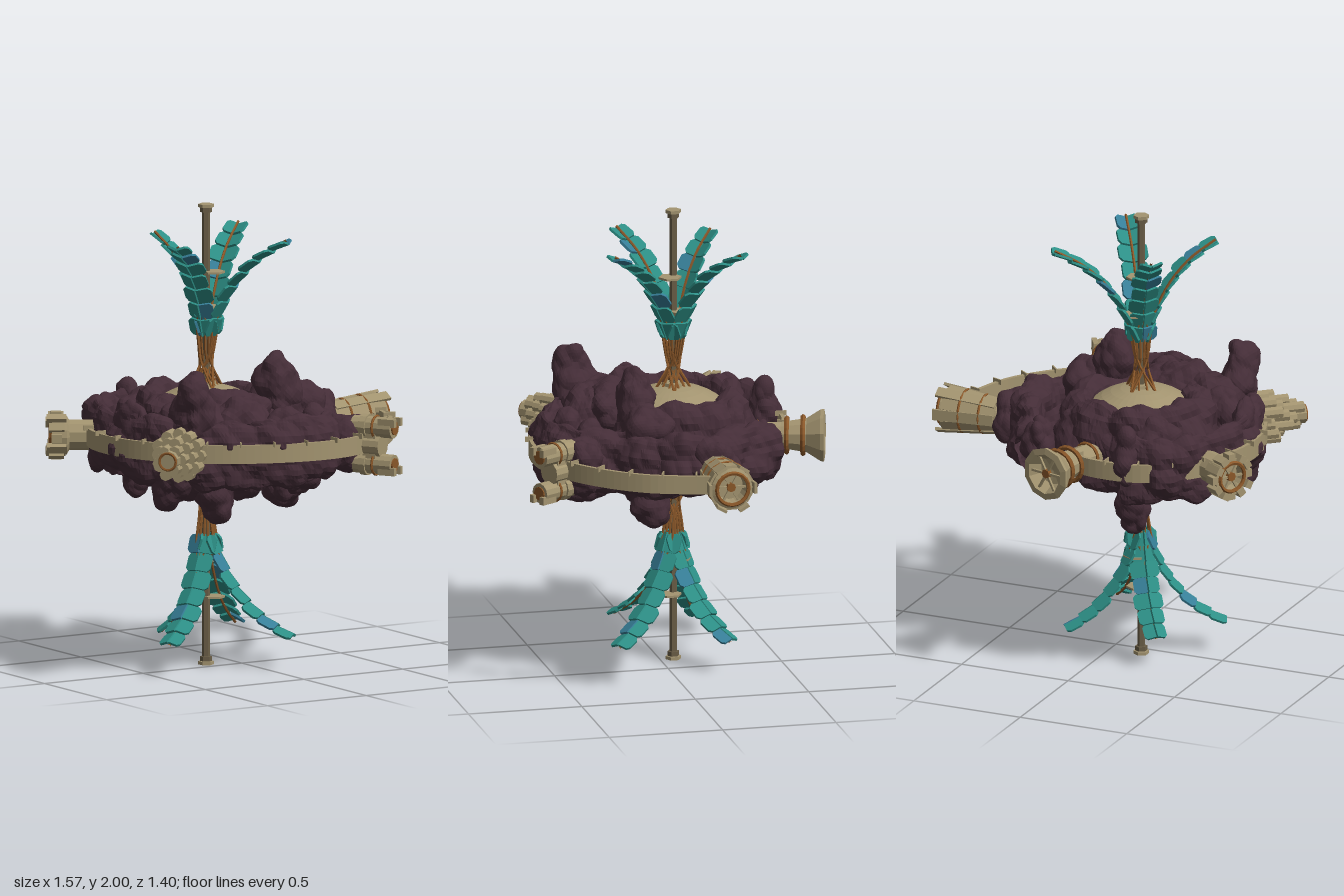
import * as THREE from 'three';

const mat = (name, color, side = THREE.FrontSide) => {
  const m = new THREE.MeshStandardMaterial({ color, flatShading: true, side });
  m.name = name;
  return m;
};
const HX = -0.145, HZ = -0.058; // hub axis

export function createModel() {
  const model = new THREE.Group();
  model.name = 'station';
  const tan = mat('tan metal', 0xa39470, THREE.DoubleSide);
  const dark = mat('mast metal', 0x6a5e47);
  const rockMat = mat('purple rock', 0x442d37, THREE.DoubleSide);
  const brown = mat('brown metal', 0x8a5729);
  const teal = mat('teal panel', 0x2d8f86);
  const blue = mat('blue panel', 0x377f98);

  const add = (parent, name, geo, material, x = 0, y = 0, z = 0) => {
    const m = new THREE.Mesh(geo, material);
    m.name = name;
    m.position.set(x, y, z);
    parent.add(m);
    return m;
  };
  const v = (x, y, z) => new THREE.Vector3(x, y, z);

  // Boulder noise: distance to the nearest of scattered seeds
  const hash = (x, y, z) => {
    const s = Math.sin(x * 127.1 + y * 311.7 + z * 74.7) * 43758.5453;
    return s - Math.floor(s);
  };
  const cell = (x, y, z) => {
    const X = Math.floor(x), Y = Math.floor(y), Z = Math.floor(z);
    let best = 9;
    for (let i = -1; i < 2; i++) for (let j = -1; j < 2; j++) for (let k = -1; k < 2; k++) {
      const a = X + i, b = Y + j, c = Z + k;
      best = Math.min(best, Math.hypot(a + hash(a, b, c) - x, b + hash(b, c, a + 5) - y, c + hash(c, a + 9, b) - z));
    }
    return 0.5 - best;
  };
  const roughen = (geo, amount) => {
    const p = geo.attributes.position, n = geo.attributes.normal;
    for (let i = 0; i < p.count; i++) {
      const x = p.getX(i), y = p.getY(i), z = p.getZ(i);
      const d = amount * (cell(x * 7, y * 7, z * 7) + 0.4 * cell(x * 16, y * 16, z * 16));
      p.setXYZ(i, x + n.getX(i) * d, y + n.getY(i) * d, z + n.getZ(i) * d);
    }
    geo.computeVertexNormals();
    return geo;
  };

  // Rock: ring round the core, outer arcs, and boulders
  const rock = new THREE.Group();
  rock.name = 'rock';
  model.add(rock);
  const rockTube = (name, pts, w, h, closed) => {
    const curve = new THREE.CatmullRomCurve3(pts.map(([x, z]) => v(x, 0, z)), closed);
    const geo = new THREE.TubeGeometry(curve, 130, w, 36, closed).scale(1, h / w, 1);
    add(rock, name, roughen(geo, 0.065), rockMat, 0, 1, 0);
  };
  const circle = [];
  for (let i = 0; i < 12; i++) {
    const a = i * Math.PI / 6;
    circle.push([HX + 0.245 * Math.cos(a), HZ + 0.25 * Math.sin(a)]);
  }
  rockTube('innerRock', circle, 0.09, 0.2, true);
  rockTube('outerRock', [[-0.25, -0.49], [-0.42, -0.45], [-0.54, -0.29], [-0.605, -0.05], [-0.565, 0.15],
    [-0.44, 0.33], [-0.2, 0.48], [0.02, 0.54], [0.2, 0.43]], 0.052, 0.15, false);
  rockTube('sideRock', [[0.18, 0.43], [0.21, 0.27], [0.33, 0.14], [0.385, -0.02], [0.35, -0.18], [0.28, -0.28], [0.2, -0.39]], 0.075, 0.14, false);
  [ // x, y, z, half sizes
    [-0.27, 1.03, -0.48, 0.06, 0.15, 0.065], [0.2, 1.02, -0.38, 0.07, 0.12, 0.065],
    [0.43, 1, -0.1, 0.08, 0.12, 0.115], [0.25, 1, 0.44, 0.11, 0.13, 0.1],
    [-0.36, 1, 0.22, 0.17, 0.22, 0.17], [-0.2, 1, 0.31, 0.16, 0.23, 0.12],
    [0.11, 1, 0.15, 0.12, 0.22, 0.12], [0.12, 0.99, 0.36, 0.08, 0.17, 0.1],
    [-0.33, 1, -0.31, 0.12, 0.17, 0.09], [0.03, 1, -0.26, 0.13, 0.18, 0.11],
    [-0.44, 1, 0.13, 0.1, 0.2, 0.08], [-0.52, 1.0, -0.16, 0.09, 0.06, 0.03],
    [-0.12, 1, -0.31, 0.14, 0.17, 0.08], [-0.05, 0.98, 0.42, 0.1, 0.2, 0.07],
    [0.09, 1.21, 0.16, 0.1, 0.17, 0.09], [-0.44, 1.18, 0.31, 0.08, 0.17, 0.1],
    [0.2, 1.13, 0.14, 0.1, 0.12, 0.1], [-0.58, 1.08, 0.05, 0.05, 0.13, 0.1],
    [-0.32, 0.83, 0.3, 0.09, 0.15, 0.09], [0.13, 0.83, 0.1, 0.09, 0.15, 0.09],
    [-0.28, 0.81, -0.43, 0.07, 0.13, 0.06], [-0.17, 1.13, 0.22, 0.16, 0.11, 0.12],
    [0.0, 0.9, 0.46, 0.09, 0.11, 0.07], [-0.5, 0.9, 0.2, 0.1, 0.15, 0.13],
  ].forEach(([x, y, z, a, b, c]) => {
    const geo = new THREE.IcosahedronGeometry(1, 9).scale(a, b, c).translate(x, y, z);
    add(rock, 'boulder', roughen(geo, 0.06), rockMat);
  });

  // Core, polar caps and mast
  add(model, 'core', new THREE.SphereGeometry(0.29, 32, 20).scale(1, 0.76, 1), tan, HX, 1, HZ);
  add(model, 'mast', new THREE.CylinderGeometry(0.017, 0.017, 1.98, 6), dark, HX, 1, HZ);
  for (const s of [-1, 1]) {
    add(model, 'polarCap', new THREE.CylinderGeometry(0.045, 0.05, 0.02, 6), tan, HX, 1 + s * 0.222, HZ);
    add(model, 'mastEnd', new THREE.CylinderGeometry(0.034, 0.034, 0.014, 6), tan, HX, 1 + s * 0.993, HZ);
    add(model, 'mastCollar', new THREE.CylinderGeometry(0.026, 0.026, 0.02, 6), dark, HX, 1 + s * 0.975, HZ);
    add(model, 'mastPlate', new THREE.CylinderGeometry(0.05, 0.05, 0.009, 6), tan, HX + 0.025, 1 + s * 0.705, HZ + 0.02);
    add(model, 'mastPlate', new THREE.CylinderGeometry(0.05, 0.05, 0.009, 6), tan, HX + 0.02, 1 + s * 0.55, HZ - 0.025);
  }

  // Half of a panel segment, with clipped outer corners, hinged on x = 0
  const halfPanel = (w, l) => {
    const s = new THREE.Shape();
    s.moveTo(0, -l / 2);
    s.lineTo(w * 0.78, -l / 2);
    s.lineTo(w, -l * 0.32);
    s.lineTo(w, l * 0.32);
    s.lineTo(w * 0.78, l / 2);
    s.lineTo(0, l / 2);
    return new THREE.ExtrudeGeometry(s, { depth: 0.01, bevelEnabled: false }).rotateX(Math.PI / 2);
  };

  // Panel fans at both ends: four curved leaves on crossed struts
  const leafTips = {
    1: [[0.31, -0.23], [0.215, 0.315], [-0.27, 0.19], [-0.14, -0.2]],
    [-1]: [[0.27, -0.19], [0.25, 0.3], [-0.31, 0.19], [-0.14, -0.15]],
  };
  for (const s of [1, -1]) {
    const fan = new THREE.Group();
    fan.name = s > 0 ? 'upperPanels' : 'lowerPanels';
    fan.position.set(HX, 1, HZ);
    if (s < 0) fan.rotation.x = Math.PI;
    model.add(fan);
    leafTips[s].forEach(([dx, dz], n) => {
      const leaf = new THREE.Group();
      leaf.name = 'panelLeaf';
      leaf.rotation.y = Math.atan2(dx, dz * s);
      fan.add(leaf);
      const k = Math.hypot(dx, dz);
      const path = new THREE.CatmullRomCurve3([[0.1, 0.43], [0.2, 0.55], [0.4, 0.68], [0.66, 0.78], [1, 0.86]]
        .map(([r, y]) => v(0, y, r * k)));
      const N = 7;
      for (let i = 0; i < N; i++) {
        const a = path.getPointAt(i / N), b = path.getPointAt((i + 1) / N);
        const seg = new THREE.Group();
        seg.name = 'panelSegment';
        seg.position.copy(a).lerp(b, 0.5);
        seg.rotation.x = -Math.atan2(b.y - a.y, b.z - a.z) + 0.14;
        leaf.add(seg);
        const w = i === N - 1 ? 0.05 : i % 2 ? 0.058 : 0.066;
        for (const e of [-1, 1]) {
          const isBlue = (i + n) % 4 === (s > 0 ? 3 : 2) && e > 0;
          add(seg, 'panel', halfPanel(w, a.distanceTo(b) * 1.03), isBlue ? blue : teal)
            .rotation.set(0, e < 0 ? Math.PI : 0, 0.35);
        }
      }
      add(leaf, 'panelRib', new THREE.TubeGeometry(path, 14, 0.006, 5).translate(0, 0.006, -0.005), brown);
      // Struts cross the axis and meet the leaf foot
      for (const e of [-1, -0.35, 0.35, 1]) {
        const strut = new THREE.CatmullRomCurve3([v(e * 0.055, 0.2, -0.055), v(e * 0.022, 0.34, 0.02),
          v(e * 0.026, 0.46, 0.11 * k), v(e * 0.012, 0.53, 0.17 * k)]);
        add(leaf, 'strut', new THREE.TubeGeometry(strut, 8, 0.0055, 5), brown);
      }
    });
  }

  // Open outer band with studs
  const band = new THREE.CatmullRomCurve3([[0.7, -0.03], [0.6, 0.25], [0.4, 0.47], [0.2, 0.575], [0.05, 0.6],
    [-0.15, 0.57], [-0.37, 0.47], [-0.53, 0.33], [-0.63, 0.16], [-0.665, 0], [-0.64, -0.2], [-0.51, -0.41],
    [-0.36, -0.52], [-0.2, -0.545], [-0.07, -0.525], [0.0, -0.48]].map(([x, z]) => v(x, 1, z)));
  const outer = [], inner = [];
  for (let i = 0; i <= 90; i++) {
    const p = band.getPointAt(i / 90), t = band.getTangentAt(i / 90);
    outer.push(new THREE.Vector2(p.x + t.z * 0.008, -p.z + t.x * 0.008));
    inner.unshift(new THREE.Vector2(p.x - t.z * 0.008, -p.z - t.x * 0.008));
  }
  const bandGeo = new THREE.ExtrudeGeometry(new THREE.Shape([...outer, ...inner]), { depth: 0.08, bevelEnabled: false });
  add(model, 'outerBand', bandGeo.rotateX(-Math.PI / 2), tan, 0, 0.965, 0);
  for (let i = 0; i < 21; i++) {
    const u = (i + 0.5) / 21, p = band.getPointAt(u), t = band.getTangentAt(u);
    const stud = add(model, 'bandStud', new THREE.BoxGeometry(0.05, 0.022, 0.006), tan, p.x, 1.046, p.z);
    stud.rotation.y = Math.atan2(t.x, t.z);
  }

  // Arms: local +z points outward
  const arm = (name, x, z, dx, dz) => {
    const g = new THREE.Group();
    g.name = name;
    g.position.set(x, 1, z);
    g.rotation.y = Math.atan2(dx, dz);
    model.add(g);
    return g;
  };
  const lathe = (g, name, pts, sides) => add(g, name,
    new THREE.LatheGeometry(pts.map(([r, z]) => new THREE.Vector2(r, z)), sides).rotateX(Math.PI / 2), tan);
  const rod = (g, name, r, len, x, y, z, material = tan, sides = 12) => add(g, name,
    new THREE.CylinderGeometry(r, r, len, sides).rotateX(Math.PI / 2), material, x, y, z);
  const hoop = (g, r, z, t = 0.006) => add(g, 'hoop', new THREE.TorusGeometry(r, t, 5, 20), brown, 0, 0, z);
  const spokes = (g, r, z) => {
    for (let i = 0; i < 3; i++) {
      add(g, 'spoke', new THREE.BoxGeometry(r * 2, 0.01, 0.01), tan, 0, 0, z).rotation.z = i * Math.PI / 3;
    }
    rod(g, 'spokeHub', 0.02, 0.02, 0, 0, z, brown, 8);
  };

  // Left arm: bell wrapped in overlapping staves
  const bell = arm('flutedArm', 0.4, -0.095, 1, -0.02);
  lathe(bell, 'bellBody', [[0.06, 0], [0.07, 0.1], [0.078, 0.2], [0.09, 0.35], [0.07, 0.36], [0.06, 0.3], [0, 0.3]], 20);
  for (let i = 0; i < 12; i++) {
    const spin = new THREE.Group();
    spin.name = 'flute';
    spin.rotation.z = i * Math.PI / 6;
    bell.add(spin);
    const f = add(spin, 'flutePlate', new THREE.BoxGeometry(0.048, 0.012, i % 2 ? 0.27 : 0.24), tan, 0, i % 2 ? 0.086 : 0.08, i % 2 ? 0.24 : 0.22);
    f.rotation.x = -0.1;
  }
  hoop(bell, 0.083, 0.17);
  hoop(bell, 0.092, 0.26);
  hoop(bell, 0.07, 0.362, 0.009);
  spokes(bell, 0.066, 0.33);

  // Back arm: flared horn
  const horn = arm('hornArm', -0.075, -0.31, 0.1, -0.37);
  lathe(horn, 'hornBody', [[0.046, 0], [0.055, 0.1], [0.058, 0.2], [0.068, 0.26], [0.076, 0.31], [0.115, 0.37],
    [0.118, 0.385], [0.09, 0.39], [0.06, 0.34], [0, 0.33]], 10);
  hoop(horn, 0.058, 0.1, 0.008);
  hoop(horn, 0.074, 0.225, 0.011);
  hoop(horn, 0.08, 0.295, 0.011);
  spokes(horn, 0.085, 0.375);

  // Back right arm: stem with toothed wheel
  const wheel = arm('wheelArm', -0.5, -0.26, -0.24, -0.14);
  rod(wheel, 'wheelStem', 0.066, 0.2, 0, 0, 0.1, tan, 10);
  lathe(wheel, 'wheelRim', [[0.05, 0.17], [0.085, 0.19], [0.085, 0.255], [0.06, 0.255], [0.05, 0.22], [0, 0.22]], 16);
  for (let i = 0; i < 12; i++) {
    const a = i * Math.PI / 6;
    add(wheel, 'tooth', new THREE.BoxGeometry(0.03, 0.034, 0.045 + (i % 3) * 0.02), tan,
      0.088 * Math.cos(a), 0.088 * Math.sin(a), 0.235).rotation.z = a;
  }
  hoop(wheel, 0.064, 0.257, 0.009);
  spokes(wheel, 0.06, 0.245);

  // Front right arm: stepped cluster of rods
  const cluster = arm('clusterArm', -0.46, 0.28, -0.2, 0.18);
  rod(cluster, 'clusterCore', 0.045, 0.29, 0, 0, 0.14, tan, 10);
  [[0.042, 0.235, 6], [0.066, 0.175, 9], [0.092, 0.12, 12]].forEach(([r, len, count]) => {
    for (let i = 0; i < count; i++) {
      const a = i * 2 * Math.PI / count;
      const l = len + (i % 3) * 0.02;
      rod(cluster, 'clusterRod', 0.026, l, r * Math.cos(a), r * Math.sin(a), l / 2, tan, 8);
    }
  });
  hoop(cluster, 0.036, 0.286);

  // Front left arm: stacked pair of barrels
  const pair = arm('barrelArm', 0.24, 0.45, 0.12, 0.2);
  rod(pair, 'barrelStem', 0.05, 0.18, 0, 0, 0.09);
  add(pair, 'barrelFrame', new THREE.BoxGeometry(0.07, 0.17, 0.06), tan, 0, 0, 0.13);
  for (const s of [-1, 1]) {
    const y = s * 0.08;
    rod(pair, 'barrel', 0.045, 0.19, 0, y, 0.14);
    rod(pair, 'barrelCollar', 0.053, 0.03, 0, y, 0.1);
    add(pair, 'barrelBand', new THREE.TorusGeometry(0.047, 0.006, 5, 16), brown, 0, y, 0.15);
    rod(pair, 'barrelMouth', 0.03, 0.01, 0, y, 0.236, brown);
    for (const e of [-1, 1]) add(pair, 'prong', new THREE.BoxGeometry(0.022, 0.034, 0.08), tan, e * 0.03, y + s * 0.025, 0.215);
  }
  return model;
}
